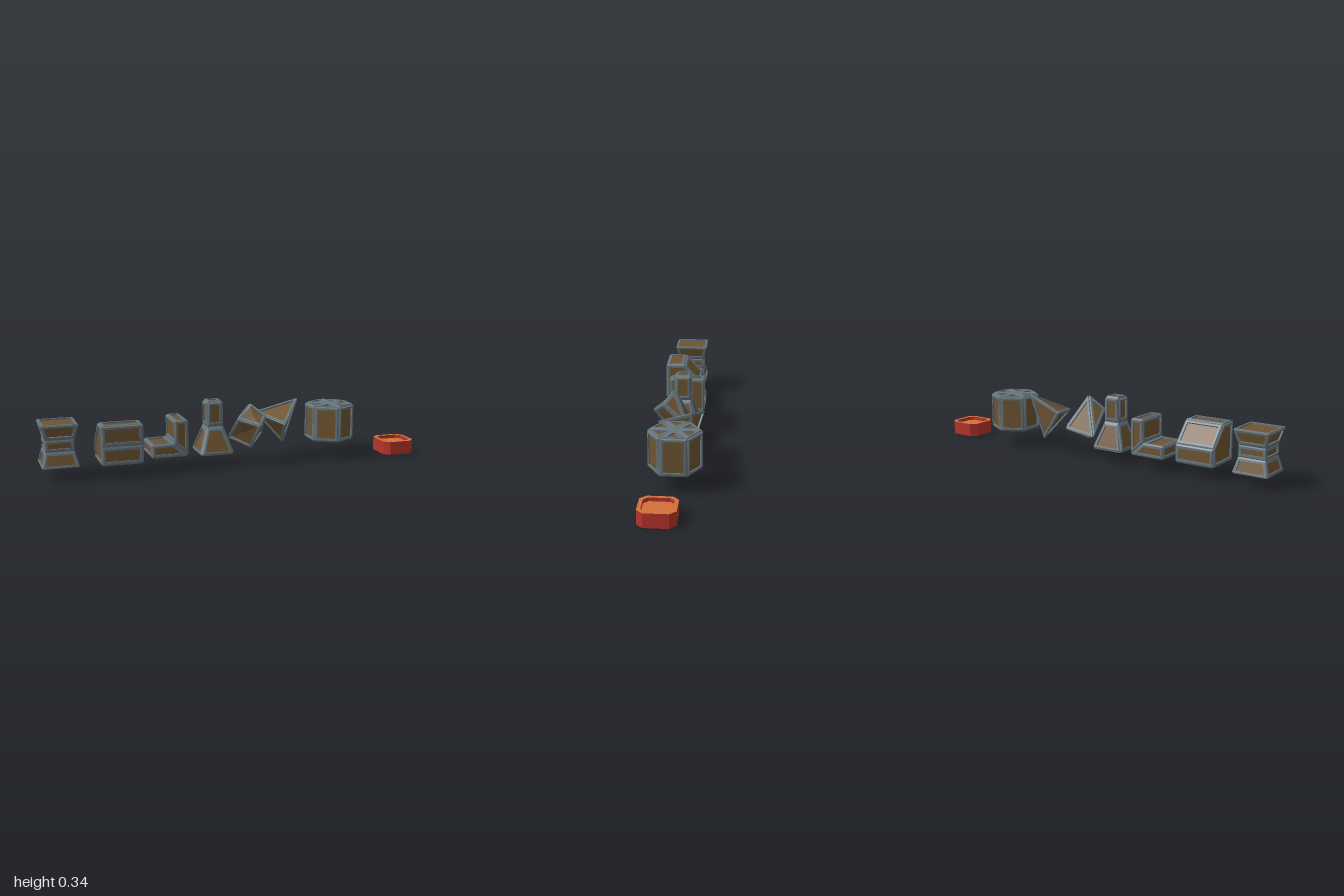
import * as THREE from 'three';

const mat = (color) => new THREE.MeshStandardMaterial({ color, flatShading: true });
const V = (x, y, z) => new THREE.Vector3(x, y, z);
const mean = (pts) => pts.reduce((s, p) => s.add(p), V(0, 0, 0)).divideScalar(pts.length);

function faceNormal(pts) {
  const n = V(0, 0, 0), c = mean(pts);
  pts.forEach((p, i) => n.add(p.clone().sub(c).cross(pts[(i + 1) % pts.length].clone().sub(c))));
  return n.normalize();
}

// Shrinks a convex polygon by w within its own plane
function inset(pts, n, w) {
  const len = pts.length;
  const side = (a, b) => n.clone().cross(b.clone().sub(a)).normalize();
  return pts.map((p, i) => {
    const a = side(pts[(i + len - 1) % len], p), b = side(p, pts[(i + 1) % len]);
    const k = w / (1 + a.dot(b));
    return p.clone().addScaledVector(a.add(b), k);
  });
}

function meshFrom(tris, material, name) {
  const g = new THREE.BufferGeometry().setFromPoints(tris);
  g.computeVertexNormals();
  const m = new THREE.Mesh(g, material);
  m.name = name;
  return m;
}

// Solid whose faces each have a bevelled border and a sunken panel
function framedSolid(name, verts, faces, mats, o = {}) {
  const { bevel = 0.009, rim = 0.02, depth = 0.008, ref = mean(verts), plain = [] } = o;
  const frame = [], panel = [];
  const band = (a, b) => a.forEach((p, i) => {
    const j = (i + 1) % a.length;
    frame.push(p, a[j], b[j], p, b[j], b[i]);
  });
  const fan = (pts, out) => {
    const c = mean(pts);
    pts.forEach((p, i) => out.push(c, p, pts[(i + 1) % pts.length]));
  };
  const corners = verts.map(() => []);
  const built = faces.map((f, fi) => {
    let ids = f, pts = f.map((i) => verts[i]), n = faceNormal(pts);
    if (n.dot(mean(pts).sub(ref)) < 0) {
      ids = [...f].reverse();
      pts = ids.map((i) => verts[i]);
      n.negate();
    }
    const outer = inset(pts, n, bevel);
    ids.forEach((id, i) => corners[id].push(outer[i]));
    return { ids, pts, n, outer, flat: plain.includes(fi) };
  });
  // Bevels meet halfway between neighbouring faces
  const meet = corners.map((c) => mean(c));
  for (const { ids, pts, n, outer, flat } of built) {
    band(ids.map((i) => meet[i]), outer);
    if (flat) { fan(outer, frame); continue; }
    const inner = inset(pts, n, rim);
    const sunk = inner.map((p) => p.clone().addScaledVector(n, -depth));
    band(outer, inner);
    band(inner, sunk);
    fan(sunk, panel);
  }
  const g = new THREE.Group();
  g.name = name;
  g.add(meshFrom(frame, mats.frame, name + 'Frame'), meshFrom(panel, mats.panel, name + 'Panels'));
  return g;
}

// Side faces between stacked rings of n vertices
function sideFaces(n, rings) {
  const out = [];
  for (let r = 0; r < rings - 1; r++) for (let i = 0; i < n; i++) {
    const j = (i + 1) % n;
    out.push([r * n + i, r * n + j, r * n + n + j, r * n + n + i]);
  }
  return out;
}

// Square tower from [half width, height] steps
function tower(name, cx, cz, steps, mats, o) {
  const verts = steps.flatMap(([h, y]) =>
    [[-1, -1], [-1, 1], [1, 1], [1, -1]].map(([a, b]) => V(cx + a * h, y, cz + b * h)));
  const t = verts.length - 4;
  const faces = [[0, 1, 2, 3], [t, t + 1, t + 2, t + 3], ...sideFaces(4, steps.length)];
  return framedSolid(name, verts, faces, mats, o);
}

const grow = (pts, k) => {
  const c = mean(pts);
  return pts.map((p) => p.clone().sub(c).multiplyScalar(k).add(c));
};

export function createModel() {
  const model = new THREE.Group();
  const mats = { frame: mat(0x66757c), panel: mat(0x6e5432) };

  // Crate with a narrow waist
  model.add(tower('waistedCrate', -0.907, 0.012,
    [[0.093, 0.065], [0.072, 0.143], [0.072, 0.202], [0.093, 0.28]], mats,
    { rim: 0.016, bevel: 0.006 }));

  // Chest with a sloping back
  const chest = [[0.065, 0.132], [0.16, 0.132], [0.267, 0.132], [0.267, 0.027], [0.16, -0.07], [0.065, -0.07]];
  const chestVerts = [-0.715, -0.503].flatMap((x) => chest.map(([y, z]) => V(x, y, z)));
  model.add(framedSolid('slopedChest', chestVerts,
    [[0, 1, 2, 3, 4, 5], [6, 7, 8, 9, 10, 11], ...sideFaces(6, 2)], mats));

  // L-shaped crate, its ends split by a diagonal brace
  const ell = [[-0.455, 0.073], [-0.265, 0.073], [-0.265, 0.26], [-0.337, 0.26], [-0.337, 0.142], [-0.455, 0.142]];
  const ellVerts = [-0.1, 0.088].flatMap((z) => ell.map(([x, y]) => V(x, y, z)));
  model.add(framedSolid('cornerCrate', ellVerts,
    [[0, 1, 4, 5], [1, 2, 3, 4], [6, 7, 10, 11], [7, 8, 9, 10], ...sideFaces(6, 2)], mats,
    { ref: V(-0.3, 0.11, 0), rim: 0.017, bevel: 0.007 }));

  // Flared base with a tall neck and plain underside
  model.add(tower('chimneyCrate', -0.112, 0.002,
    [[0.093, 0.065], [0.046, 0.207], [0.046, 0.34]], mats,
    { plain: [0], rim: 0.021, bevel: 0.013, ref: V(-0.112, 0.2, 0.002) }));

  // Tilted cube with one corner cut off
  const cube = [
    V(0.08, 0.315, 0.03), V(-0.013, 0.12, -0.06), V(0.175, 0.14, -0.05), V(0, 0.245, 0.07),
    V(0.15, 0.257, 0.085), V(0.083, 0.08, 0.045), V(0.1, 0.21, 0.138),
  ];
  model.add(framedSolid('cutCube', grow(cube, 1.04),
    [[0, 1, 2], [6, 3, 0, 4], [6, 4, 2, 5], [6, 5, 1, 3], [0, 3, 1], [0, 4, 2], [1, 5, 2]], mats,
    { rim: 0.017, bevel: 0.006 }));

  // Tilted four-sided pyramid
  const tetra = [V(0.387, 0.303, -0.08), V(0.16, 0.235, -0.125), V(0.302, 0.07, -0.07), V(0.25, 0.205, 0.1)];
  model.add(framedSolid('pyramidCrate', grow(tetra, 1.06),
    [[0, 1, 2], [0, 1, 3], [0, 2, 3], [1, 2, 3]], mats, { rim: 0.018, bevel: 0.006 }));

  // Six-sided crate, spoked on top and plain below
  const hexVerts = [0.088, 0.281].flatMap((y) => Array.from({ length: 6 }, (_, i) =>
    V(0.545 + 0.134 * Math.sin(i * Math.PI / 3), y, -0.012 + 0.134 * Math.cos(i * Math.PI / 3))));
  hexVerts.push(V(0.545, 0.281, -0.012));
  const spokes = Array.from({ length: 6 }, (_, i) => [12, 6 + i, 6 + (i + 1) % 6]);
  model.add(framedSolid('hexCrate', hexVerts, [[0, 1, 2, 3, 4, 5], ...spokes, ...sideFaces(6, 2)], mats,
    { plain: [0], rim: 0.02, bevel: 0.01, ref: V(0.545, 0.18, -0.012) }));

  // Shallow red tray with cut corners
  const octagon = (h, c) => [[h, c], [c, h], [-c, h], [-h, c], [-h, -c], [-c, -h], [c, -h], [h, -c]]
    .map(([x, y]) => new THREE.Vector2(x, y));
  const trayMats = [mat(0xd2703a), mat(0xb5342a)];
  const slab = (name, shape, y, depth) => {
    const g = new THREE.ExtrudeGeometry(shape, { depth, bevelEnabled: false });
    g.rotateX(-Math.PI / 2);
    const m = new THREE.Mesh(g, trayMats);
    m.name = name;
    m.position.set(0.91, y, 0.032);
    return m;
  };
  const rimShape = new THREE.Shape(octagon(0.088, 0.058));
  rimShape.holes.push(new THREE.Path(octagon(0.07, 0.048)));
  model.add(slab('trayBase', new THREE.Shape(octagon(0.088, 0.058)), 0, 0.052));
  model.add(slab('trayRim', rimShape, 0.052, 0.018));

  return model;
}
